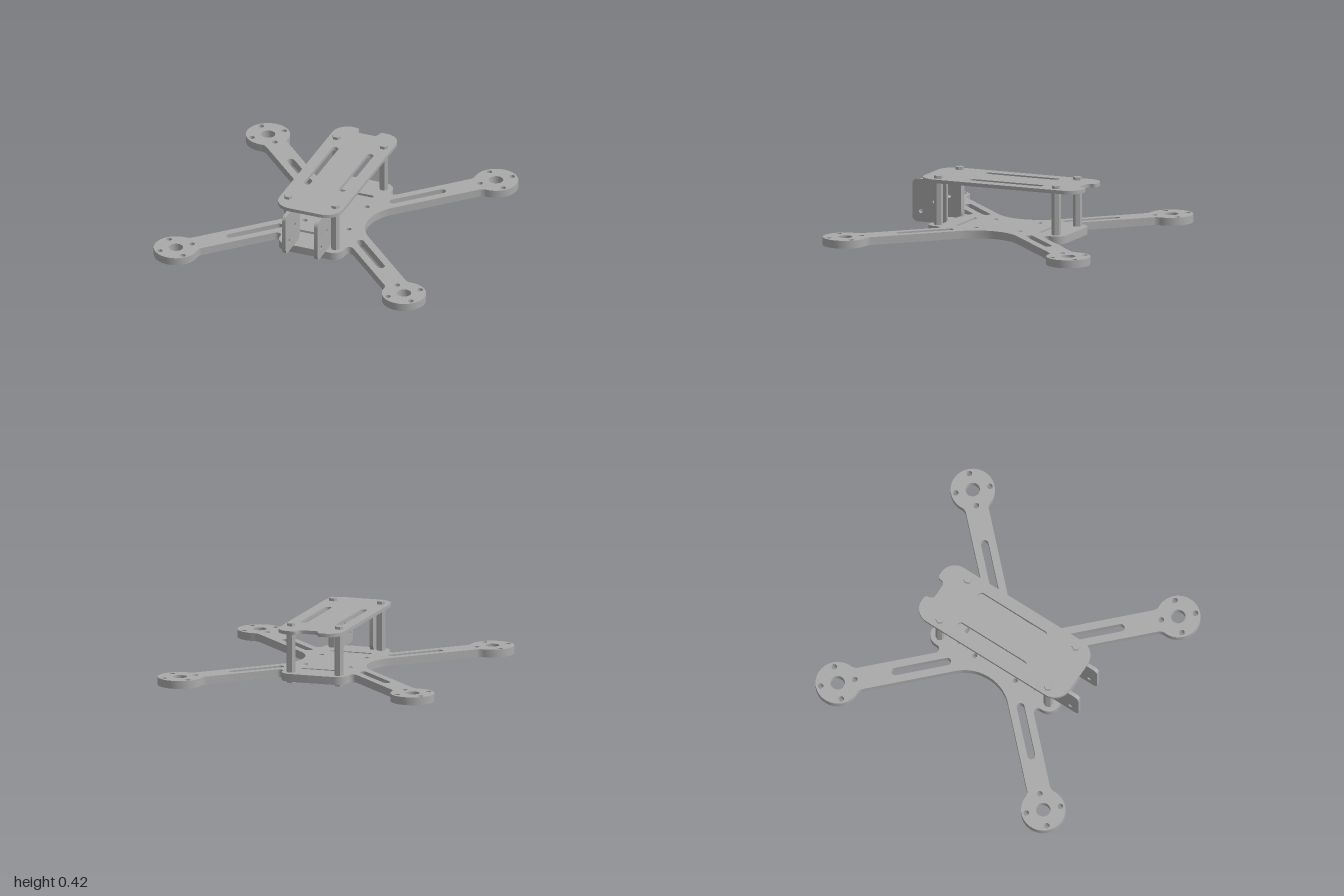
import * as THREE from 'three';
import { toCreasedNormals } from 'three/addons/utils/BufferGeometryUtils.js';

const V = (x, y) => new THREE.Vector2(x, y);

// points along a circular arc
function arc(cx, cy, r, a0, a1, n = 8) {
  return Array.from({ length: n + 1 }, (_, i) => {
    const a = a0 + ((a1 - a0) * i) / n;
    return V(cx + r * Math.cos(a), cy + r * Math.sin(a));
  });
}

const circle = (x, y, r, n = 20) => new THREE.Path(arc(x, y, r, 0, Math.PI * 2, n).slice(0, -1));

// round-ended slot between two points
function slot(x0, y0, x1, y1, r) {
  const a = Math.atan2(y1 - y0, x1 - x0), h = Math.PI / 2;
  return new THREE.Path([...arc(x1, y1, r, a - h, a + h), ...arc(x0, y0, r, a + h, a + 3 * h)]);
}

function extrude(points, holes, depth) {
  const shape = new THREE.Shape(points);
  shape.holes.push(...holes);
  return new THREE.ExtrudeGeometry(shape, { depth, bevelEnabled: false });
}

// horizontal plate: outline is given in (x, z)
function plate(points, holes, bottom, top) {
  const g = extrude(points, holes, top - bottom);
  g.rotateX(Math.PI / 2).translate(0, top, 0);
  return toCreasedNormals(g, 0.6);
}

const PI = Math.PI;
const ARM = 0.08, PAD = 0.153, PADPOS = 0.847;

// one quarter of the base: side curve, arm, motor pad, arm, body corner
function baseQuarter() {
  const rf = 0.06, c = PADPOS * Math.SQRT2, w = ARM + rf;
  const du = Math.sqrt((PAD + rf) ** 2 - w ** 2);
  const a = Math.atan2(w, -du);
  const arm = [
    ...arc(c - du, -w, rf, PI / 2, PI - a, 6),
    ...arc(c, 0, PAD, -a, a, 40).slice(1, -1),
    ...arc(c - du, w, rf, a - PI, -PI / 2, 6),
  ].map((p) => V((p.x - p.y) / Math.SQRT2, (p.x + p.y) / Math.SQRT2));
  return [
    ...arc(0.547, 0, 0.307, PI, PI * 0.75, 10),
    ...arm,
    ...arc(0.27, 0.425, 0.03, -PI / 4, -PI, 8),
    ...arc(0.16, 0.44, 0.08, 0, PI / 2, 8),
  ];
}

function baseGeometry() {
  const q = baseQuarter();
  const flip = (sx, sz) => q.map((p) => V(p.x * sx, p.y * sz));
  const outline = [
    ...q,
    ...flip(-1, 1).reverse(),
    ...flip(-1, -1).slice(1),
    ...flip(1, -1).reverse().slice(0, -1),
  ];
  const holes = [];
  for (const sz of [-1, 1]) {
    holes.push(slot(-0.14, 0.312 * sz, 0.14, 0.312 * sz, 0.013)); // strap slot
    for (const sx of [-1, 1]) {
      holes.push(circle(0.163 * sx, 0.167 * sz, 0.018, 12)); // board hole
      holes.push(slot(0.302 * sx, 0.302 * sz, 0.561 * sx, 0.561 * sz, 0.027));
      holes.push(circle(PADPOS * sx, PADPOS * sz, 0.05, 28));
      for (const i of [-1, 1]) for (const j of [-1, 1])
        holes.push(circle(PADPOS * sx + 0.085 * i, PADPOS * sz + 0.085 * j, 0.02, 14));
    }
  }
  return plate(outline, holes, 0.02, 0.075);
}

// rounded deck with a notch at the back
function topGeometry() {
  const half = [
    ...arc(0.045, -0.6, 0.03, PI / 2, 0, 6),
    ...arc(0.1, -0.605, 0.025, PI, PI * 1.5, 6),
    ...arc(0.125, -0.52, 0.11, PI * 1.5, PI * 2, 10),
    ...arc(0.115, 0.46, 0.12, 0, PI / 2, 10),
  ];
  const outline = [...half, ...half.map((p) => V(-p.x, p.y)).reverse()];
  const holes = [-1, 1].map((s) => slot(0.13 * s, -0.303, 0.13 * s, 0.208, 0.024));
  return plate(outline, holes, 0.375, 0.4);
}

// upright side plate, outline in (z, y)
function cameraGeometry() {
  const r = 0.04, z0 = 0.405, z1 = 0.665, y0 = 0.075, y1 = 0.375, t = 0.026;
  const outline = [
    ...arc(z1 - r, y0 + r, r, -PI / 2, 0),
    ...arc(z1 - r, y1 - r, r, 0, PI / 2),
    ...arc(z0 + r, y1 - r, r, PI / 2, PI),
    ...arc(z0 + r, y0 + r, r, PI, PI * 1.5),
  ];
  const g = extrude(outline, [circle(0.6, 0.15, 0.016, 14), circle(0.495, 0.223, 0.016, 14)], t);
  g.rotateY(-PI / 2).translate(t / 2, 0, 0);
  // the turn maps depth to -x and the outline to +z
  return toCreasedNormals(g, 0.6);
}

function hexGeometry(r, y0, y1) {
  const g = new THREE.CylinderGeometry(r, r, y1 - y0, 6, 1, false, PI / 6);
  return toCreasedNormals(g.translate(0, (y0 + y1) / 2, 0), 0.4);
}

export function createModel() {
  const model = new THREE.Group();
  model.name = 'quadcopterFrame';
  const grey = new THREE.MeshStandardMaterial({ color: 0xaaaaaa });
  grey.name = 'frameGrey';

  const add = (name, geometry, x = 0, z = 0) => {
    const mesh = new THREE.Mesh(geometry, grey);
    mesh.name = name;
    mesh.position.set(x, 0, z);
    model.add(mesh);
  };

  add('basePlate', baseGeometry());
  add('topPlate', topGeometry());

  const camera = cameraGeometry();
  add('leftCameraPlate', camera, 0.118);
  add('rightCameraPlate', camera, -0.118);

  // standoffs with a screw head above and below
  const post = hexGeometry(0.032, 0.075, 0.375);
  const lowerScrew = hexGeometry(0.03, 0, 0.02);
  const upperScrew = hexGeometry(0.03, 0.4, 0.42);
  for (const sx of [-1, 1]) for (const sz of [-1, 1]) {
    const x = 0.175 * sx, z = 0.446 * sz;
    const label = (sz > 0 ? 'front' : 'back') + (sx > 0 ? 'Left' : 'Right');
    add(label + 'Standoff', post, x, z);
    add(label + 'LowerScrew', lowerScrew, x, z);
    add(label + 'UpperScrew', upperScrew, x, z);
  }
  return model;
}
